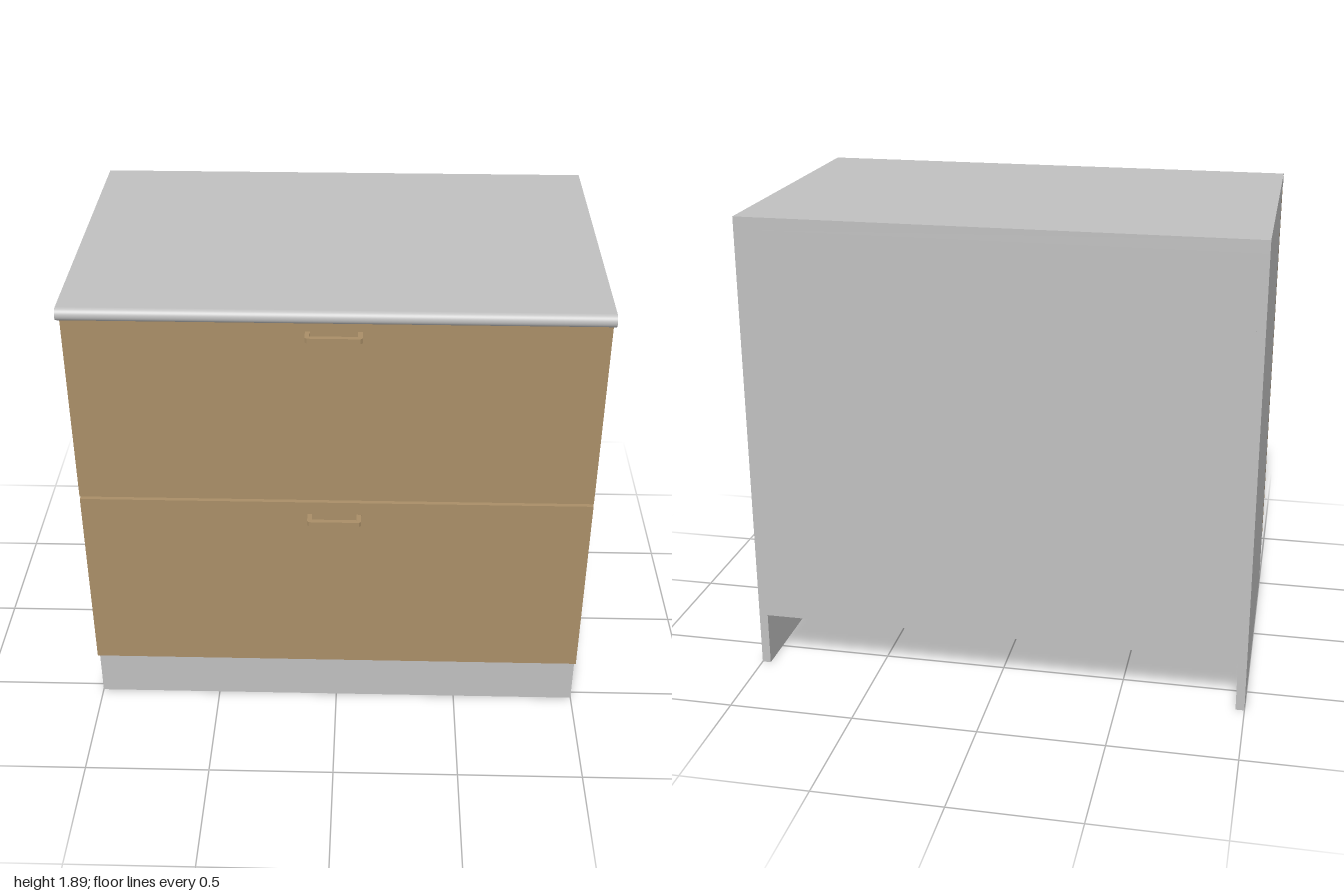
import * as THREE from 'three';

export function createModel() {
  const group = new THREE.Group();
  const grey = new THREE.MeshStandardMaterial({ color: 0xc0c0c0 });
  grey.name = 'light grey';
  const wood = new THREE.MeshStandardMaterial({ color: 0xa98e67 });
  wood.name = 'tan wood';

  const add = (name, geometry, material) => {
    const mesh = new THREE.Mesh(geometry, material);
    mesh.name = name;
    group.add(mesh);
    return mesh;
  };
  // Box given by its lower and upper limits on each axis
  const panel = (name, material, [x0, x1], [y0, y1], [z0, z1]) =>
    add(name, new THREE.BoxGeometry(x1 - x0, y1 - y0, z1 - z0), material)
      .position.set((x0 + x1) / 2, (y0 + y1) / 2, (z0 + z1) / 2);

  const back = -0.645, front = 0.535, top = 1.89, under = 1.84, floor = 0.22, t = 0.035;

  // Carcass: sides reach the ground, the back stops at the cabinet floor
  panel('rightSide', grey, [-1, -1 + t], [0, under], [back, front]);
  panel('leftSide', grey, [1 - t, 1], [0, under], [back, front]);
  panel('backPanel', grey, [-1 + t, 1 - t], [floor, under], [back, back + t]);
  panel('cabinetFloor', grey, [-1 + t, 1 - t], [floor, floor + t], [back + t, front]);
  panel('plinth', grey, [-1 + t, 1 - t], [0, floor], [front - t, front]);
  panel('middleRail', grey, [-1 + t, 1 - t], [0.98, 1.08], [front - t, front]);

  // Worktop with a half-round front edge, extruded across the width
  const r = (top - under) / 2, nose = 0.645 - r;
  const profile = new THREE.Shape();
  profile.moveTo(-back, under);
  profile.lineTo(-back, top);
  profile.lineTo(-nose, top);
  profile.absarc(-nose, under + r, r, Math.PI / 2, Math.PI * 1.5, false);
  profile.closePath();
  const worktop = new THREE.ExtrudeGeometry(profile, { depth: 2, bevelEnabled: false, curveSegments: 16 });
  worktop.translate(0, 0, -1).rotateY(Math.PI / 2);
  // Smooth normals around the rounded edge
  const p = worktop.attributes.position, n = worktop.attributes.normal;
  for (let i = 0; i < p.count; i++) {
    if (p.getZ(i) > nose - 1e-4 && Math.abs(n.getX(i)) < 0.5 && n.getZ(i) > 0.01) {
      n.setXYZ(i, 0, (p.getY(i) - under - r) / r, (p.getZ(i) - nose) / r);
    }
  }
  add('worktop', worktop, grey);

  // Bracket handle drawn from above, then laid flat
  const w = 0.105, d = 0.055, b = 0.018, c = 0.008;
  const bracket = new THREE.Shape([
    [-w, 0], [-w + b, 0], [-w + b, d - b], [w - b, d - b], [w - b, 0], [w, 0],
    [w, d - c], [w - c, d], [-w + c, d], [-w, d - c],
  ].map(([x, y]) => new THREE.Vector2(x, y)));
  const handle = new THREE.ExtrudeGeometry(bracket, { depth: 0.02, bevelEnabled: false });
  handle.rotateX(Math.PI / 2);

  // Two drawer fronts, each with its handle
  [['lower', 0.225, 1.025, 0.97], ['upper', 1.037, under, 1.78]].forEach(([name, y0, y1, handleTop]) => {
    panel(name + 'DrawerFront', wood, [-1, 1], [y0, y1], [front, 0.575]);
    add(name + 'Handle', handle, wood).position.set(-0.005, handleTop, 0.575);
  });

  return group;
}
